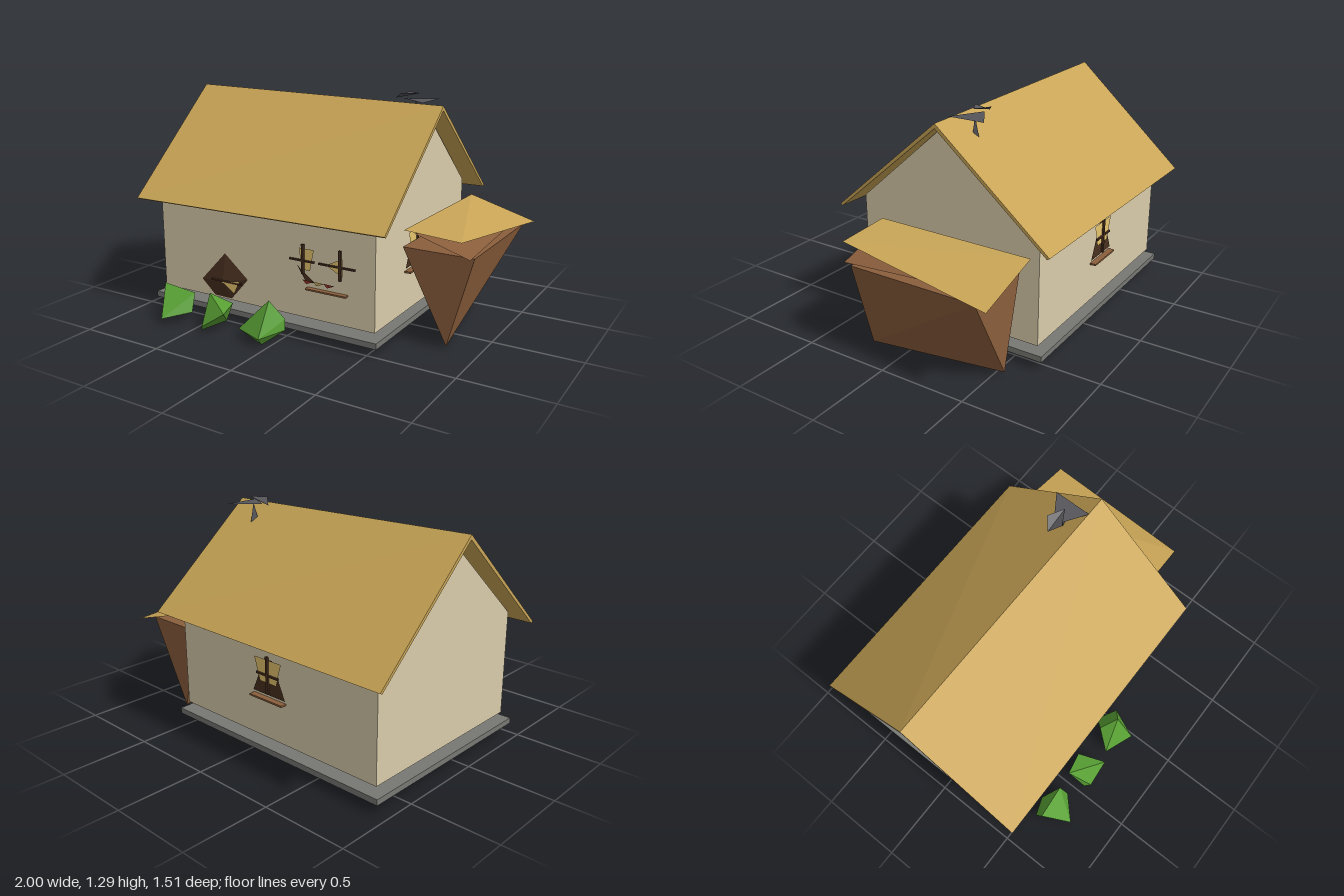
import * as THREE from 'three';
import { ConvexGeometry } from 'three/addons/geometries/ConvexGeometry.js';

const THATCH = 0xc8a456, PLASTER = 0xd9ccab, STONE = 0x777773, WOOD = 0x8a5e3c;
const DARK = 0x4a3020, GOLD = 0xe6c56e, LEAF = 0x58a034, IRON = 0x55555a, RED = 0xa83a2c;

function mesh(name, geometry, color, doubleSided = false) {
  const material = new THREE.MeshStandardMaterial({ color, flatShading: true });
  if (doubleSided) material.side = THREE.DoubleSide;
  const m = new THREE.Mesh(geometry, material);
  m.name = name;
  return m;
}

// Thin sheet: a fan of triangles over a few corners
function sheet(name, color, points) {
  const pos = [];
  for (let i = 1; i < points.length - 1; i++) pos.push(...points[0], ...points[i], ...points[i + 1]);
  const g = new THREE.BufferGeometry();
  g.setAttribute('position', new THREE.Float32BufferAttribute(pos, 3));
  g.computeVertexNormals();
  return mesh(name, g, color, true);
}
// Sheet facing front at a given depth
const flat = (name, color, z, pts) => sheet(name, color, pts.map(([x, y]) => [x, y, z]));

function hull(name, color, points) {
  return mesh(name, new ConvexGeometry(points.map((p) => new THREE.Vector3(...p))), color);
}

function box(name, color, x0, x1, y0, y1, z0, z1) {
  const g = new THREE.BoxGeometry(x1 - x0, y1 - y0, z1 - z0);
  g.translate((x0 + x1) / 2, (y0 + y1) / 2, (z0 + z1) / 2);
  return mesh(name, g, color);
}

// Extrude a (z, y) profile along x
function alongX(profile, x0, x1) {
  const shape = new THREE.Shape(profile.map(([z, y]) => new THREE.Vector2(-z, y)));
  const g = new THREE.ExtrudeGeometry(shape, { depth: x1 - x0, bevelEnabled: false });
  return g.rotateY(Math.PI / 2).translate(x0, 0, 0);
}

// Window facing +z, centred on its own origin
function makeWindow(name) {
  const w = new THREE.Group();
  w.name = name;
  w.add(flat('windowFrame', DARK, 0.006, [[-0.12, -0.1], [0.12, -0.1], [0.03, 0.1], [-0.03, 0.1]]));
  w.add(flat('windowPane', GOLD, 0.012, [[-0.1, 0.1], [-0.06, -0.03], [0.06, -0.03], [0.1, 0.1]]));
  w.add(box('windowPost', DARK, -0.008, 0.008, -0.09, 0.12, 0.012, 0.022));
  w.add(box('windowBar', DARK, -0.08, 0.08, 0.01, 0.02, 0.012, 0.022));
  w.add(box('windowSill', WOOD, -0.12, 0.12, -0.125, -0.115, 0, 0.035));
  return w;
}

export function createModel() {
  const house = new THREE.Group();
  house.name = 'cottage';

  house.add(box('foundation', STONE, -0.94, 0.56, 0.055, 0.088, -0.69, 0.51));

  // Gabled walls
  house.add(mesh('walls', alongX(
    [[0.47, 0.125], [0.47, 0.73], [-0.09, 1.22], [-0.65, 0.73], [-0.65, 0.125]], -0.9, 0.53), PLASTER));

  // Roof: folded slab, ridge sinking and eaves rising slightly to one end
  const roof = alongX([[0.57, 0.675], [-0.095, 1.278], [-0.76, 0.675],
    [-0.745, 0.667], [-0.095, 1.252], [0.555, 0.667]], -1, 0.63);
  const p = roof.attributes.position;
  for (let i = 0; i < p.count; i++) {
    const t = (p.getX(i) + 1) / 1.63;
    const ridge = 1 - Math.abs(p.getZ(i) + 0.095) / 0.665;
    p.setY(i, p.getY(i) + t * (0.012 - 0.04 * ridge));
  }
  house.add(mesh('roof', roof, THATCH));

  // Side bay tapering to a skewed keel
  house.add(hull('bay', WOOD, [
    [0.555, 0.53, 0.21], [0.96, 0.53, 0.21], [0.96, 0.53, -0.55], [0.555, 0.53, -0.55],
    [0.82, 0.02, 0.21], [0.69, 0.02, -0.55]]));
  house.add(sheet('bayRoof', THATCH, [
    [0.6, 0.645, -0.64], [0.6, 0.65, 0.295], [0.92, 0.63, 0.295], [1, 0.53, -0.64]]));
  house.add(sheet('bayRafter', WOOD, [[0.64, 0.63, 0.26], [0.955, 0.535, 0.26], [0.955, 0.57, -0.23]]));

  // Front door and its trim
  house.add(hull('door', DARK, [
    [-0.61, 0.22, 0.475], [-0.44, 0.4, 0.472], [-0.28, 0.27, 0.475], [-0.4, 0.135, 0.472],
    [-0.52, 0.135, 0.472], [-0.44, 0.24, 0.5]]));
  house.add(sheet('doorTrim', GOLD, [[-0.45, 0.24, 0.503], [-0.32, 0.26, 0.5], [-0.36, 0.18, 0.5]]));
  house.add(box('doorBar', DARK, -0.52, -0.31, 0.238, 0.246, 0.49, 0.505));

  // Front window: two shutters, crossbars, flowers and sill
  house.add(flat('frontPaneLeft', GOLD, 0.48, [[0.07, 0.52], [0.09, 0.4], [0.14, 0.4], [0.165, 0.52]]));
  house.add(flat('frontPaneRight', GOLD, 0.48, [[0.24, 0.45], [0.34, 0.4], [0.34, 0.5]]));
  house.add(flat('frontBracket', DARK, 0.482, [[0.06, 0.42], [0.12, 0.33], [0.17, 0.34]]));
  for (const [x, x0, x1] of [[0.1, 0.015, 0.17], [0.33, 0.2, 0.42]]) {
    house.add(box('frontPost', DARK, x - 0.007, x + 0.007, 0.38, 0.545, 0.482, 0.495));
    house.add(box('frontBar', DARK, x0, x1, 0.45, 0.458, 0.482, 0.495));
  }
  [RED, GOLD, RED].forEach((color, i) => {
    const x = 0.15 + i * 0.065;
    house.add(sheet('flower', color, [[x - 0.025, 0.365, 0.53], [x - 0.015, 0.335, 0.51], [x + 0.025, 0.35, 0.5]]));
  });
  house.add(box('frontSill', WOOD, 0.12, 0.37, 0.295, 0.304, 0.47, 0.5));

  // Rear and side windows
  const rear = makeWindow('rearWindow');
  rear.position.set(-0.17, 0.48, -0.65);
  rear.rotation.y = Math.PI;
  const side = makeWindow('sideWindow');
  side.position.set(0.53, 0.48, 0.01);
  side.rotation.y = Math.PI / 2;
  house.add(rear, side);

  // Chimney: slim spike under two flat caps
  house.add(hull('chimney', IRON, [
    [0.42, 1.26, -0.195], [0.39, 1.13, -0.175], [0.42, 1.1, -0.23], [0.44, 1.13, -0.19]]));
  house.add(sheet('chimneyCap', IRON, [[0.34, 1.262, -0.2], [0.51, 1.258, -0.09], [0.51, 1.258, -0.31]]));
  house.add(sheet('chimneyTop', IRON, [
    [0.29, 1.262, -0.2], [0.35, 1.297, -0.15], [0.44, 1.297, -0.2], [0.35, 1.297, -0.25]]));

  // Shrubs along the front
  const shrubs = [
    [[-0.785, 0.2, 0.6], [-0.79, 0.08, 0.56], [-0.69, 0.045, 0.75], [-0.565, 0.07, 0.63],
      [-0.58, 0.17, 0.58], [-0.68, 0.06, 0.52]],
    [[-0.48, 0.185, 0.57], [-0.455, 0.005, 0.68], [-0.43, 0.04, 0.71], [-0.28, 0.14, 0.7],
      [-0.38, 0.03, 0.55], [-0.34, 0.14, 0.54]],
    [[-0.04, 0.24, 0.61], [0.03, 0.13, 0.56], [0.035, 0.07, 0.57], [-0.03, 0.06, 0.73],
      [-0.05, 0.005, 0.67], [-0.21, 0.06, 0.66], [-0.13, 0.15, 0.55], [-0.07, 0.05, 0.49]],
  ];
  for (const points of shrubs) house.add(hull('shrub', LEAF, points));

  return house;
}
